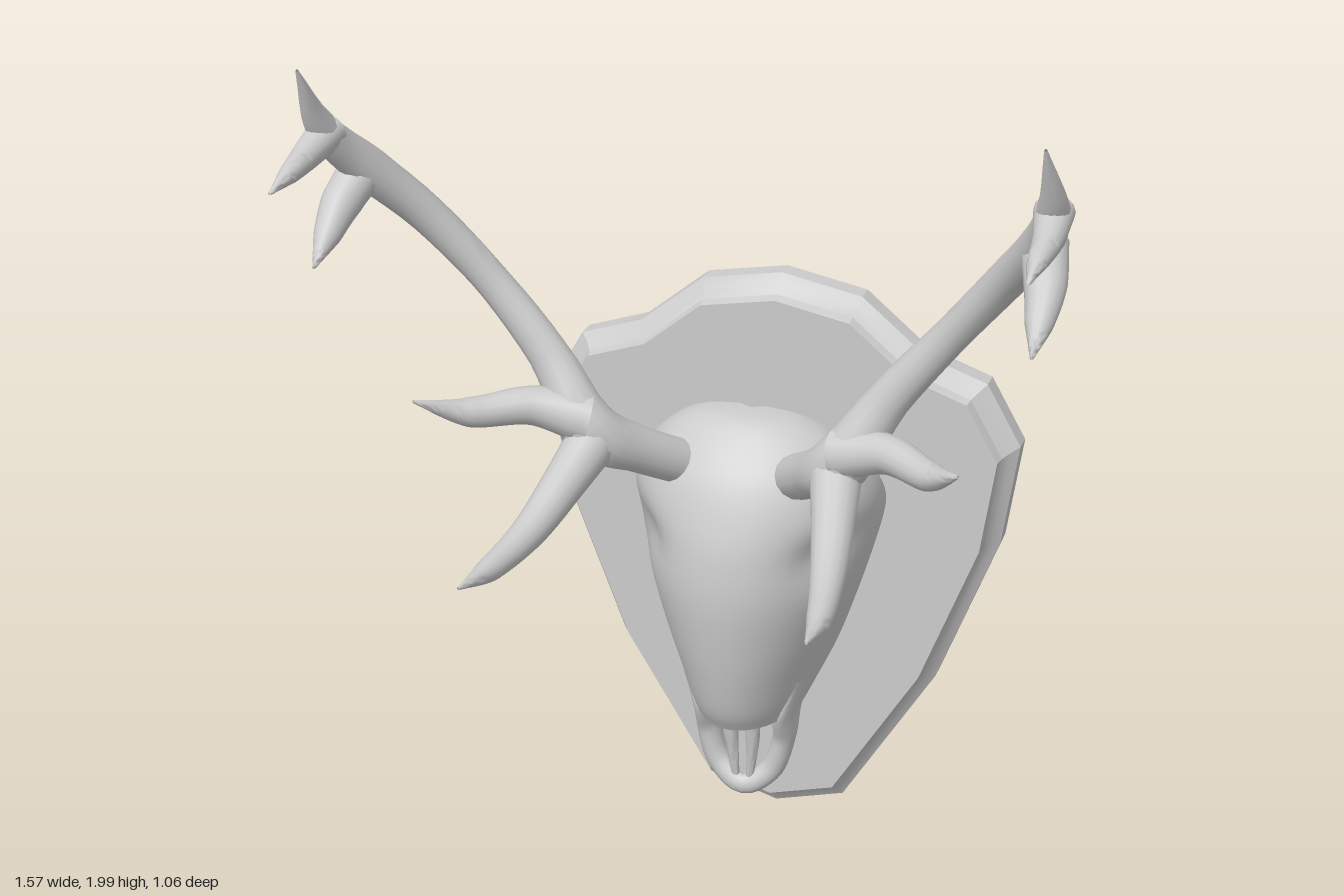
import * as THREE from 'three';
import { toCreasedNormals } from 'three/addons/utils/BufferGeometryUtils.js';

const material = new THREE.MeshStandardMaterial({ color: 0xcccccc, side: THREE.DoubleSide });
const V = (p) => new THREE.Vector3(...p);

// Skin a list of closed cross-sections (arrays of [x, y, z])
function loft(rows, crease) {
  const n = rows[0].length, index = [];
  for (let i = 0; i < rows.length - 1; i++) {
    for (let j = 0; j < n; j++) {
      const a = i * n + j, b = i * n + (j + 1) % n;
      index.push(a, b, b + n, a, b + n, a + n);
    }
  }
  const g = new THREE.BufferGeometry();
  g.setAttribute('position', new THREE.Float32BufferAttribute(rows.flat(2), 3));
  g.setIndex(index);
  return toCreasedNormals(g, crease);
}

// Linear lookup in a list, t from 0 to 1
function sample(list, t) {
  const f = t * (list.length - 1), i = Math.min(Math.floor(f), list.length - 2);
  return THREE.MathUtils.lerp(list[i], list[i + 1], f - i);
}

// Tube whose radius (and depth radius along z) varies from one path point to the next
function taper(points, radii, depths = radii, segments = 32) {
  const curve = new THREE.CatmullRomCurve3(points.map(V));
  const sides = 14, g = new THREE.TubeGeometry(curve, segments, 1, sides);
  const pos = g.attributes.position, v = new THREE.Vector3();
  for (let i = 0; i <= segments; i++) {
    const t = curve.getUtoTmapping(i / segments), c = curve.getPoint(t);
    const r = sample(radii, t), d = sample(depths, t);
    for (let j = 0; j <= sides; j++) {
      const k = i * (sides + 1) + j;
      v.fromBufferAttribute(pos, k).sub(c);
      pos.setXYZ(k, c.x + v.x * r, c.y + v.y * r, c.z + v.z * d);
    }
  }
  g.deleteAttribute('uv');
  return toCreasedNormals(g, 1.3);
}

// Shield-shaped board: moulded rim, hollow at the back
function plaqueGeometry() {
  const half = [[0.165, 0.055], [0.38, 0.41], [0.52, 0.78], [0.555, 1.02], [0.475, 1.16],
    [0.33, 1.21], [0.185, 1.33]];
  const outline = [[0, 0.007], ...half, [0, 1.365], ...half.map(([x, y]) => [-x, y]).reverse()];
  const cy = 0.69;
  const steps = [[1, -0.53], [1, -0.485], [0.965, -0.47], [0.94, -0.452], [0.93, -0.43], [0, -0.43]];
  return loft(steps.map(([s, z]) => outline.map(([x, y]) => [x * s, cy + (y - cy) * s, z])), 0.4);
}

// Skull shell: U-shaped sections open at the back
function skullGeometry() {
  // y, front z, back z, half width
  const sections = [
    [0.405, -0.11, -0.345, 0.12], [0.45, -0.085, -0.385, 0.14], [0.52, -0.065, -0.432, 0.17],
    [0.62, -0.045, -0.435, 0.205], [0.75, -0.03, -0.435, 0.245], [0.86, -0.038, -0.433, 0.272],
    [0.94, -0.06, -0.385, 0.275], [1.01, -0.09, -0.34, 0.25], [1.06, -0.125, -0.31, 0.21],
    [1.1, -0.165, -0.292, 0.16], [1.125, -0.2, -0.28, 0.1], [1.133, -0.24, -0.277, 0.03]];
  const depth = new THREE.CatmullRomCurve3(sections.map((s) => V(s.slice(1))), false, 'catmullrom');
  const height = new THREE.CatmullRomCurve3(sections.map((s) => V([0, s[0], 0])), false, 'catmullrom');
  const A = 1.8, N = 32, end = Math.cos(A), rows = [];

  const arc = (t, scale) => {
    const { x: zf, y: zb, z: w } = depth.getPoint(t), y = height.getPoint(t).y;
    return Array.from({ length: N + 1 }, (_, j) => {
      const a = -A + 2 * A * j / N;
      let x = w * scale * Math.sin(a);
      const z = zb + (zf - zb) * (1 - (1 - scale) * 0.7) * (Math.cos(a) - end) / (1 - end);
      // eye sockets
      const e = ((y - 0.85) / 0.06) ** 2 + ((z + 0.16) / 0.07) ** 2;
      x -= Math.sign(x) * 0.03 * Math.exp(-e);
      return [x, y - (1 - scale) * 0.12 * t, z];
    });
  };
  const ring = (t, outer, inner) => [...arc(t, outer), ...arc(t, inner).reverse()];
  rows.push(ring(0, 0.84, 0.84));
  for (let i = 0; i <= 44; i++) rows.push(ring(i / 44, 1, 0.84));
  rows.push(rows[rows.length - 1].map(() => [0, 1.134, -0.26]));
  return loft(rows, 0.9);
}

// Antler pieces on the +x side: name, path, radii
const antlerParts = [
  ['beam', [[0.11, 1.01, -0.19], [0.2, 1.085, -0.08], [0.275, 1.15, -0.005], [0.37, 1.3, -0.02],
    [0.5, 1.465, -0.015], [0.62, 1.62, 0.04], [0.705, 1.74, 0.13], [0.748, 1.85, 0.235], [0.748, 2, 0.332]],
  [0.05, 0.052, 0.065, 0.046, 0.038, 0.04, 0.042, 0.033, 0.003],
  [0.05, 0.052, 0.06, 0.04, 0.036, 0.042, 0.055, 0.038, 0.003]],
  ['browTine', [[0.265, 1.14, -0.02], [0.295, 1.075, 0.1], [0.325, 1.015, 0.24], [0.352, 0.997, 0.39],
    [0.365, 1.015, 0.525]], [0.058, 0.047, 0.037, 0.027, 0.003]],
  ['sideTine', [[0.28, 1.18, 0], [0.39, 1.21, 0.04], [0.5, 1.215, 0.125], [0.583, 1.268, 0.222]],
    [0.058, 0.042, 0.032, 0.003]],
  ['lowerCrownTine', [[0.71, 1.74, 0.12], [0.733, 1.68, 0.2], [0.738, 1.63, 0.265], [0.74, 1.585, 0.328]],
    [0.048, 0.042, 0.028, 0.003]],
  ['upperCrownTine', [[0.745, 1.84, 0.21], [0.754, 1.815, 0.3], [0.754, 1.803, 0.38], [0.756, 1.79, 0.467]],
    [0.04, 0.03, 0.021, 0.003]],
];

export function createModel() {
  const model = new THREE.Group();
  const add = (name, geometry, parent = model) => {
    const mesh = new THREE.Mesh(geometry, material);
    mesh.name = name;
    parent.add(mesh);
  };

  add('plaque', plaqueGeometry());
  add('skull', skullGeometry());

  // Muzzle loop around the nose opening
  const side = [[-0.125, 0.5, -0.29], [-0.095, 0.41, -0.257], [-0.09, 0.33, -0.247], [-0.062, 0.245, -0.236]];
  const mirrored = (list) => [...list].reverse();
  const rs = [0.026, 0.027, 0.026, 0.027], ds = [0.11, 0.085, 0.04, 0.025];
  add('muzzle', taper(
    [...side, [0, 0.203, -0.217], ...mirrored(side).map(([x, y, z]) => [-x, y, z])],
    [...rs, 0.024, ...mirrored(rs)], [...ds, 0.018, ...mirrored(ds)], 48));

  for (const s of [1, -1]) {
    const label = s > 0 ? 'left' : 'right';
    // Slim bones inside the nose opening
    add(label + 'NasalBone', taper(
      [[s * 0.024, 0.45, -0.19], [s * 0.026, 0.34, -0.21], [s * 0.016, 0.215, -0.218]], [0.016, 0.017, 0.008]));

    const antler = new THREE.Group();
    antler.name = label + 'Antler';
    for (const [name, path, radii, depths] of antlerParts) {
      add(name, taper(path.map(([x, y, z]) => [s * x, y, z]), radii, depths), antler);
    }
    model.add(antler);
  }
  return model;
}
